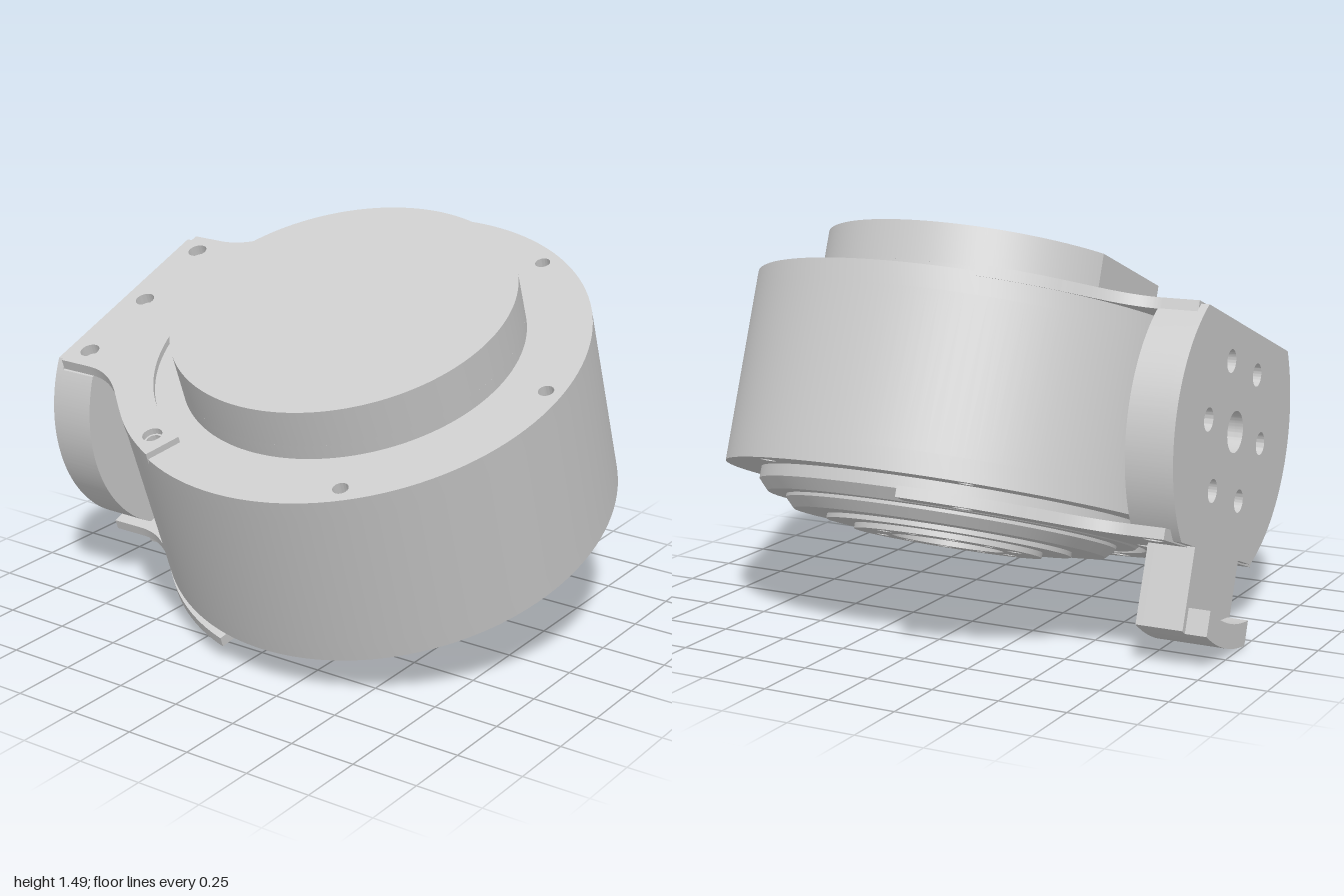
import * as THREE from 'three';
import { toCreasedNormals } from 'three/addons/utils/BufferGeometryUtils.js';

const material = new THREE.MeshStandardMaterial({ color: 0xcccccc });
const AXIS_Z = 0.14; // depth of the main cylinder axis
const rad = THREE.MathUtils.degToRad;

function add(parent, name, geometry) {
  const mesh = new THREE.Mesh(toCreasedNormals(geometry, 0.45), material);
  mesh.name = name;
  parent.add(mesh);
  return mesh;
}

function extrude(shape, depth) {
  return new THREE.ExtrudeGeometry(shape, { depth, bevelEnabled: false, curveSegments: 64 });
}

// Outline in the plan plane (x, backwards), raised from y0 to y1
function slab(shape, y0, y1) {
  return extrude(shape, y1 - y0).rotateX(-Math.PI / 2).translate(0, y0, AXIS_Z);
}

// Outline in the upright plane (x, y), running from z0 to z1
function upright(shape, z0, z1) {
  return extrude(shape, z1 - z0).translate(0, 0, z0);
}

function hole(shape, x, y, r) {
  shape.holes.push(new THREE.Path().absarc(x, y, r, 0, Math.PI * 2, true));
}

function holeRing(shape, radius, r, degrees) {
  for (const d of degrees) hole(shape, radius * Math.cos(rad(d)), radius * Math.sin(rad(d)), r);
}

function disc(r) {
  return new THREE.Shape().absarc(0, 0, r, 0, Math.PI * 2, false);
}

const SIX = [0, 60, 120, 180, 240, 300];

// Arc-shaped bracket plate with a neck reaching back to the mounting disc
function bracketShape(tipDeg) {
  const s = new THREE.Shape();
  const a = rad(tipDeg), join = rad(44), R = 0.862, inner = 0.73;
  const jx = R * Math.cos(join), jy = R * Math.sin(join);
  s.moveTo(inner * Math.cos(a), inner * Math.sin(a));
  s.lineTo(R * Math.cos(a), R * Math.sin(a));
  s.absarc(0, 0, R, a, join, false);
  s.bezierCurveTo(jx - 0.09, jy + 0.1, 0.43, 0.77, 0.43, 0.9);
  s.lineTo(0.43, 1.03);
  s.lineTo(-0.43, 1.03);
  s.lineTo(-0.43, 0.9);
  s.bezierCurveTo(-0.43, 0.77, -jx + 0.09, jy + 0.1, -jx, jy);
  s.absarc(0, 0, R, Math.PI - join, Math.PI - a, false);
  s.lineTo(-inner * Math.cos(a), inner * Math.sin(a));
  s.absarc(0, 0, inner, Math.PI - a, a, true);
  return s;
}

// Disc cut flat at the top and bottom
function flattenedDisc(r, bottom, top) {
  const t = Math.asin(top / r), b = Math.asin(bottom / r);
  const s = new THREE.Shape();
  s.absarc(0, 0, r, b, t, false);
  s.absarc(0, 0, r, Math.PI - t, Math.PI - b, false);
  s.closePath();
  holeRing(s, 0.265, 0.042, SIX);
  hole(s, 0, 0, 0.075);
  return s;
}

// Straight-sided tongue with an arc at its lower end
function tongue(PathType, halfWidth, top, r) {
  const p = new PathType();
  const a = Math.asin(halfWidth / r), down = -Math.PI / 2;
  p.moveTo(halfWidth, top);
  p.lineTo(-halfWidth, top);
  p.absarc(0, 0, r, down - a, down + a, false);
  p.closePath();
  return p;
}

export function createModel() {
  const model = new THREE.Group();
  model.name = 'tiltedRotaryActuator';
  const unit = new THREE.Group();
  unit.name = 'actuator';
  unit.position.y = 0.76;
  unit.rotation.z = rad(20);
  model.add(unit);

  // Housing: solid core between two faces with blind screw holes
  const boltAngles = [30, 90, 150, 210, 270, 330];
  const face = disc(0.86);
  holeRing(face, 0.795, 0.028, boltAngles);
  add(unit, 'housingCore', new THREE.CylinderGeometry(0.86, 0.86, 0.552, 128).translate(0, 0, AXIS_Z));
  add(unit, 'housingTopFace', slab(face, 0.276, 0.356));
  add(unit, 'housingBottomFace', slab(face, -0.356, -0.276));

  // Rear cap with a flat on its back
  add(unit, 'capBase', slab(disc(0.627), 0.356, 0.41));
  const flat = Math.asin(0.57 / 0.627);
  const cap = new THREE.Shape().absarc(0, 0, 0.627, Math.PI - flat, Math.PI * 2 + flat, false);
  cap.closePath();
  add(unit, 'cap', slab(cap, 0.41, 0.553));

  // Stepped output side
  const steps = [
    [0.3, -0.505], [0.46, -0.505], [0.46, -0.488], [0.585, -0.488], [0.62, -0.452],
    [0.62, -0.44], [0.69, -0.44], [0.727, -0.4], [0.727, -0.35],
  ].map(([r, y]) => new THREE.Vector2(r, y));
  add(unit, 'outputSteps', new THREE.LatheGeometry(steps, 128).translate(0, 0, AXIS_Z));

  // Output flange with bore, screw holes and pin holes
  const flange = disc(0.353);
  hole(flange, 0, 0, 0.21);
  holeRing(flange, 0.28, 0.028, [30, 90, 150, 210, 270, 330]);
  holeRing(flange, 0.28, 0.02, [0, 60, 180, 240]);
  add(unit, 'outputFlange', slab(flange, -0.525, -0.35));

  // Bracket plates above and below the housing
  const topPlate = bracketShape(24);
  holeRing(topPlate, 0.795, 0.036, [30, 150]);
  for (const x of [-0.345, 0, 0.345]) hole(topPlate, x, 0.96, 0.036);
  add(unit, 'topBracket', slab(topPlate, 0.34, 0.38));

  const bottomPlate = bracketShape(14.5);
  holeRing(bottomPlate, 0.795, 0.036, [30, 90, 150]);
  for (const x of [-0.345, 0.345]) hole(bottomPlate, x, 0.96, 0.036);
  add(unit, 'bottomBracket', slab(bottomPlate, -0.44, -0.4));

  // Mounting disc held between the brackets, with a taller rear lip
  add(unit, 'mountingDisc', upright(flattenedDisc(0.555, -0.4, 0.34), -0.89, -0.745));
  add(unit, 'mountingDiscLip', upright(flattenedDisc(0.555, -0.435, 0.372), -0.92, -0.89));

  // Tongue below the disc with a shallow pocket in front
  add(unit, 'tongue', upright(tongue(THREE.Shape, 0.215, -0.38, 0.757), -0.92, -0.77));
  const rim = tongue(THREE.Shape, 0.215, -0.38, 0.757);
  rim.holes.push(tongue(THREE.Path, 0.178, -0.45, 0.7));
  add(unit, 'tongueRim', upright(rim, -0.77, -0.745));

  // Curved hook at the end of the tongue
  const hook = new THREE.Shape();
  const down = -Math.PI / 2, ao = Math.asin(0.19 / 0.757), ai = Math.asin(0.19 / 0.67);
  hook.absarc(0, 0, 0.757, down - ao, down + ao, false);
  hook.absarc(0, 0, 0.67, down + ai, down - ai, true);
  hook.closePath();
  add(unit, 'tongueHook', upright(hook, -1, -0.92));

  return model;
}
